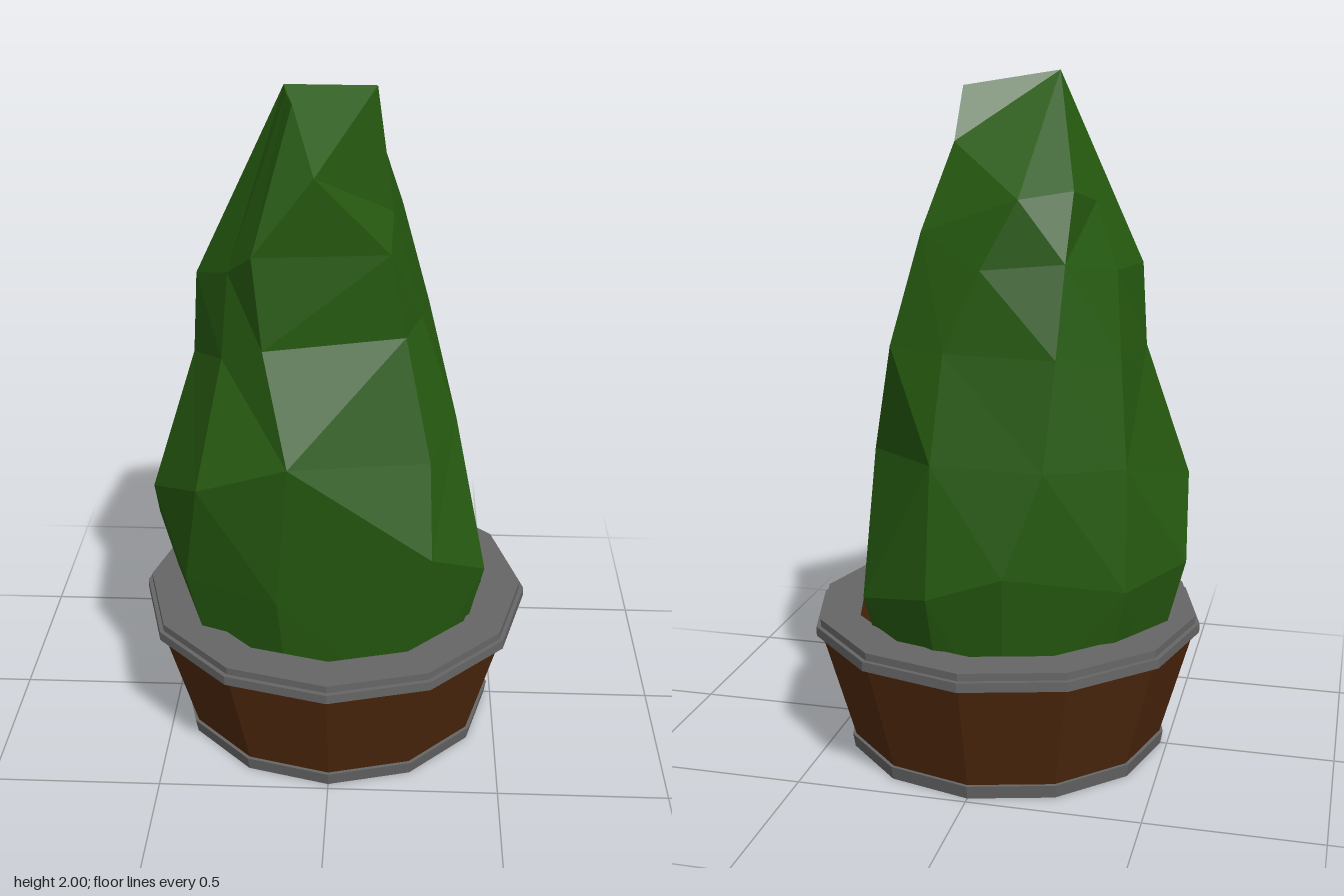
import * as THREE from 'three';

const material = (name, color) => {
  const m = new THREE.MeshStandardMaterial({ color });
  m.name = name;
  return m;
};

// Twelve-sided faceted ring or bowl from a [radius, height] profile
function turned(name, profile, mat) {
  const points = profile.map(([r, y]) => new THREE.Vector2(r, y));
  const geometry = new THREE.LatheGeometry(points, 12).toNonIndexed();
  geometry.computeVertexNormals();
  const mesh = new THREE.Mesh(geometry, mat);
  mesh.name = name;
  return mesh;
}

// Bush outlines from low to high, going round from the front towards +x
const outlines = [
  [[-0.15, 0.58, 0.41], [-0.11, 1.04, 0.465], [-0.18, 1.34, 0.355], [-0.205, 1.6, 0.345], [-0.1, 1.98, 0.24]],
  [[0.29, 0.72, 0.385], [0.28, 0.98, 0.29], [0.205, 1.33, 0.22], [0.16, 1.58, 0.25], [-0.04, 1.81, 0.325]],
  [[0.45, 0.59, 0.205], [0.355, 1.04, 0.12], [0.25, 1.32, 0.03], [0.165, 1.62, 0], [0.115, 1.96, -0.05]],
  [[0.355, 0.51, -0.31], [0.36, 0.92, -0.155], [0.275, 1.25, -0.265], [0.19, 1.57, -0.23], [0.12, 1.81, -0.13]],
  [[0.12, 0.58, -0.47], [0.12, 0.95, -0.41], [0.1, 1.25, -0.34], [0, 1.48, -0.32], [-0.1, 1.67, -0.295]],
  [[-0.1, 0.66, -0.475], [-0.2, 0.95, -0.42], [-0.22, 1.25, -0.36], [-0.23, 1.5, -0.29], [-0.24, 1.69, -0.23]],
  [[-0.41, 0.58, -0.28], [-0.4, 0.93, -0.25], [-0.37, 1.22, -0.19], [-0.34, 1.46, -0.1], [-0.275, 1.65, -0.08]],
  [[-0.55, 0.61, -0.06], [-0.525, 0.82, 0.155], [-0.4, 1.22, 0.08], [-0.385, 1.46, 0.08], [-0.13, 2, 0.11]],
  [[-0.42, 0.6, 0.31], [-0.37, 0.93, 0.39], [-0.3, 1.28, 0.27], [-0.28, 1.52, 0.24], [-0.12, 1.99, 0.17]],
];

function bushGeometry() {
  // Add a narrower foot to each outline, hidden inside the pot
  const columns = outlines.map((line) => {
    const [x, , z] = line[0];
    return [[x * 0.78, 0.15, z * 0.8], ...line].map((p) => new THREE.Vector3(...p));
  });
  const n = columns.length;
  const top = columns[0].length - 1;
  const triangles = [];
  columns.forEach((left, i) => {
    const right = columns[(i + 1) % n];
    for (let j = 0; j < top; j++) {
      const [a, b, c, d] = [left[j], right[j], right[j + 1], left[j + 1]];
      // Fold each patch along its shorter diagonal
      if (a.distanceTo(c) < b.distanceTo(d)) triangles.push(a, b, c, a, c, d);
      else triangles.push(a, b, d, b, c, d);
    }
  });
  // Crown: a fan from the peak
  const peak = 7;
  for (let k = 1; k < n - 1; k++) {
    triangles.push(columns[peak][top], columns[(peak + k) % n][top], columns[(peak + k + 1) % n][top]);
  }
  const geometry = new THREE.BufferGeometry().setFromPoints(triangles);
  geometry.computeVertexNormals();
  return geometry;
}

export function createModel() {
  const leafGreen = material('leaf green', 0x265a10);
  const potBrown = material('pot brown', 0x50290d);
  const metalGrey = material('metal grey', 0x666666);

  const model = new THREE.Group();
  model.name = 'pottedBush';

  const pot = new THREE.Group();
  pot.name = 'pot';
  pot.add(
    turned('baseBand', [[0, 0], [0.48, 0], [0.487, 0.04], [0.475, 0.04]], metalGrey),
    turned('potWall', [[0.475, 0.035], [0.572, 0.375]], potBrown),
    turned('rim', [[0.565, 0.37], [0.588, 0.37], [0.588, 0.398], [0.575, 0.398], [0.575, 0.42], [0.455, 0.42]], metalGrey),
    turned('potInside', [[0.455, 0.42], [0.43, 0.28], [0, 0.28]], potBrown),
  );

  const bush = new THREE.Mesh(bushGeometry(), leafGreen);
  bush.name = 'bush';
  model.add(pot, bush);
  return model;
}
